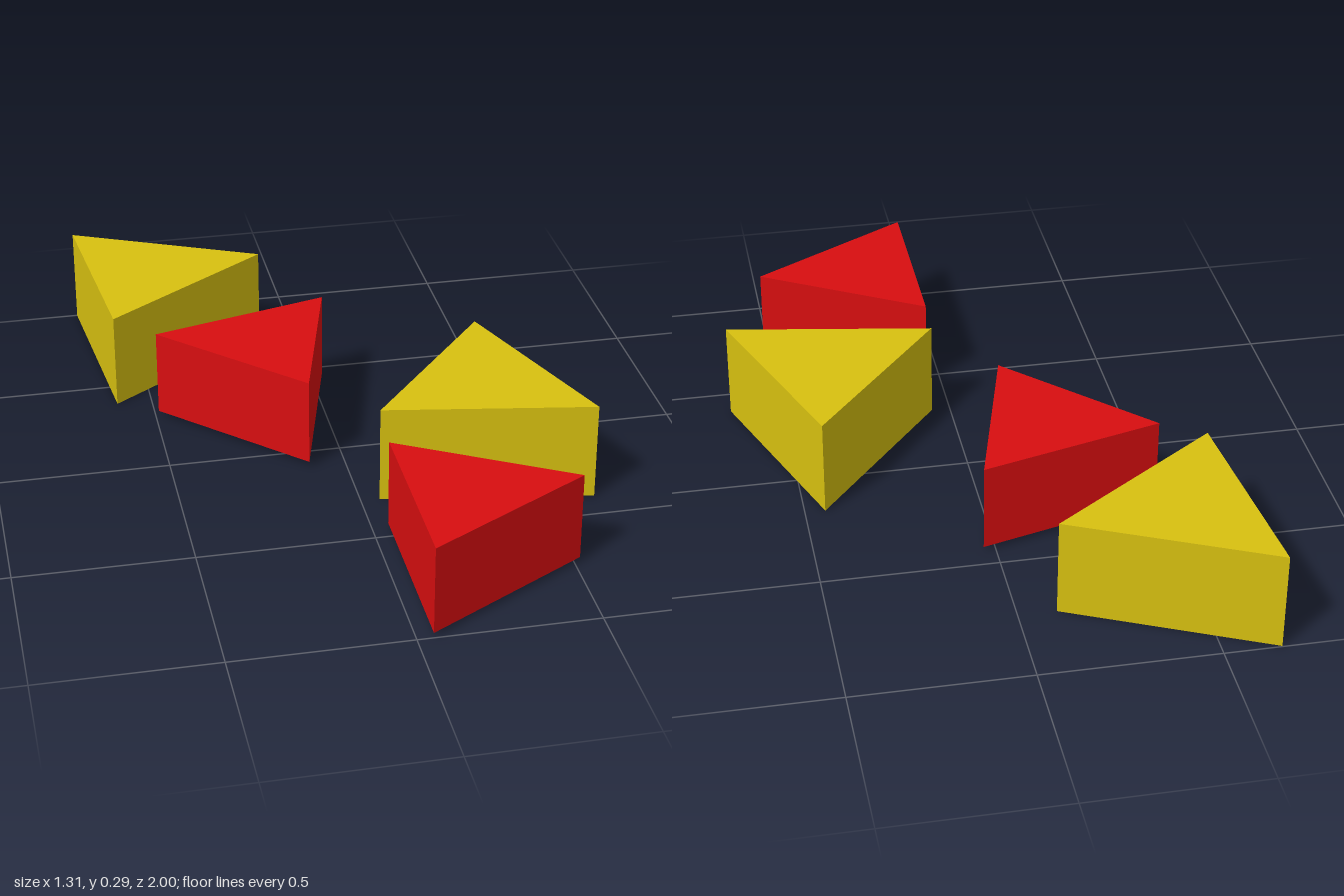
import * as THREE from 'three';

export function createModel() {
  const model = new THREE.Group();
  model.name = 'triangularBlocks';

  const yellow = new THREE.MeshStandardMaterial({ color: 0xd8c110 });
  yellow.name = 'yellow';
  const red = new THREE.MeshStandardMaterial({ color: 0xd80e10 });
  red.name = 'red';

  // Equilateral prism with crisp faces, centred on the origin
  function prism(radius, height) {
    const geometry = new THREE.CylinderGeometry(radius, radius, height, 3).toNonIndexed();
    geometry.computeVertexNormals();
    return geometry;
  }
  const large = prism(0.351, 0.287);
  const small = prism(0.314, 0.258);

  // Four blocks from back to front, all sharing one mid-height
  const blocks = [
    ['backYellowBlock', large, yellow, -0.457, -0.711, 1.663],
    ['backRedBlock', small, red, -0.187, -0.218, 2.356],
    ['frontYellowBlock', large, yellow, 0.383, 0.18, -1.215],
    ['frontRedBlock', small, red, 0.202, 0.727, Math.PI / 2],
  ];
  for (const [name, geometry, material, x, z, turn] of blocks) {
    const block = new THREE.Mesh(geometry, material);
    block.name = name;
    block.position.set(x, 0.1435, z);
    block.rotation.y = turn;
    model.add(block);
  }
  return model;
}
